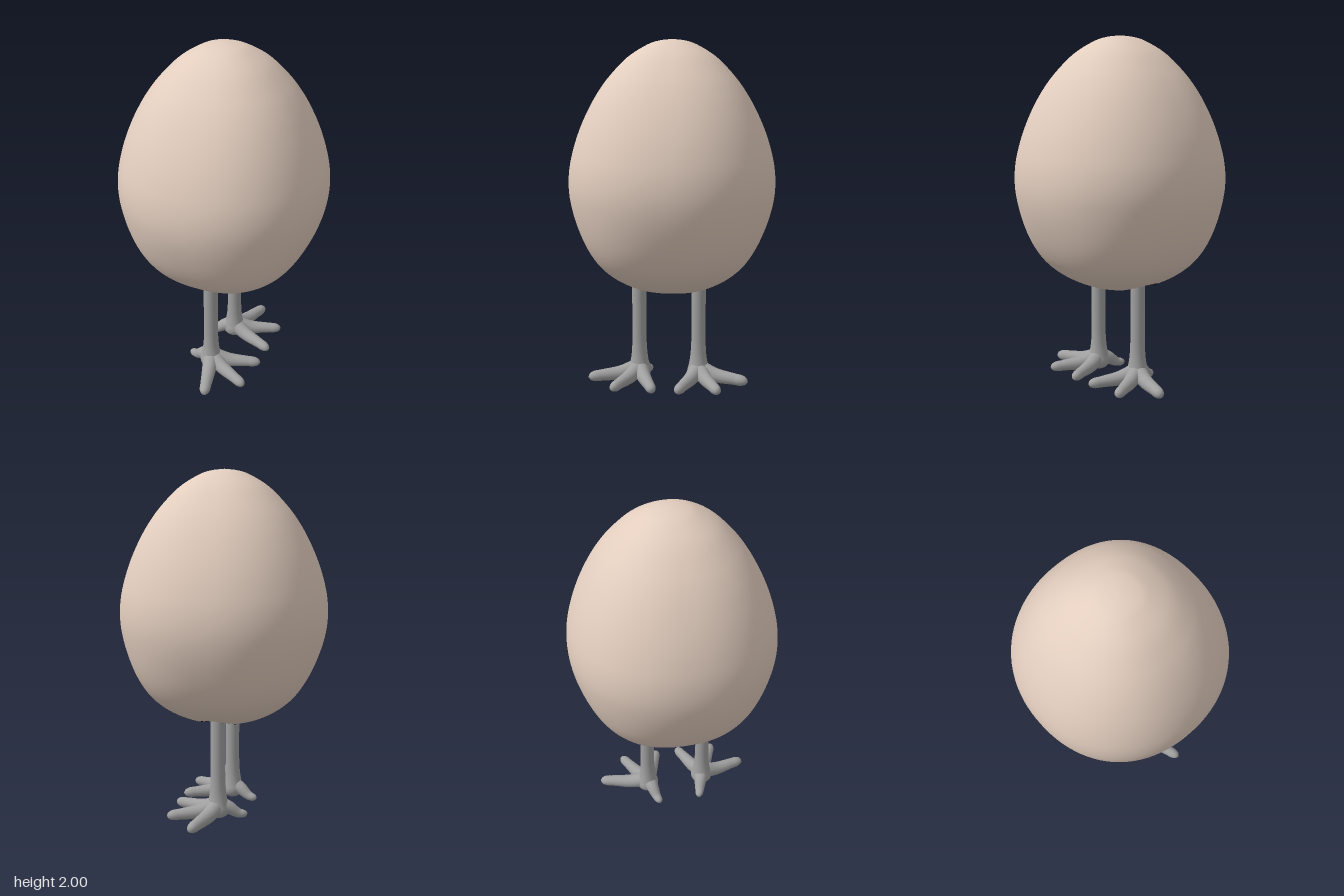
import * as THREE from 'three';
import { mergeVertices } from 'three/addons/utils/BufferGeometryUtils.js';

const V2 = (x, y) => new THREE.Vector2(x, y);
const V3 = (x, y, z) => new THREE.Vector3(x, y, z);
const { smoothstep, mapLinear, lerp } = THREE.MathUtils;

// Egg outline from bottom to top (radius, height)
const profile = new THREE.SplineCurve([
  V2(0, 0.563), V2(0.1, 0.567), V2(0.2, 0.587), V2(0.3, 0.633), V2(0.38, 0.69),
  V2(0.44, 0.755), V2(0.497, 0.85), V2(0.545, 0.965), V2(0.576, 1.075), V2(0.588, 1.18),
  V2(0.581, 1.29), V2(0.556, 1.4), V2(0.522, 1.5), V2(0.477, 1.6), V2(0.421, 1.7),
  V2(0.352, 1.795), V2(0.25, 1.9), V2(0.14, 1.969), V2(0.07, 1.992), V2(0, 2),
]).getPoints(95);

// The plan is slightly squared, most of all low on the body
function squareness(x, z, y) {
  const r = Math.hypot(x, z);
  if (r < 1e-6) return 1;
  const n = 2.15 + 0.2 * (1 - smoothstep(y, 0.75, 1.1)) + 0.05 * smoothstep(y, 1.4, 1.7);
  return (Math.abs(x / r) ** n + Math.abs(z / r) ** n) ** (-1 / n);
}

// Legs along z, and the shallow sockets they stand in
const legs = [
  { name: 'frontLeg', z: 0.196, side: 1 },
  { name: 'rearLeg', z: -0.155, side: -1 },
];
const socketZ = (leg) => leg.z + leg.side * 0.018;
const dent = (x, z) => legs.reduce(
  (sum, leg) => sum + 0.045 * (1 - smoothstep(Math.hypot(x, z - socketZ(leg)), 0.05, 0.105)), 0);

// Height of the egg's underside at (x, z)
function undersideY(x, z) {
  const r = Math.hypot(x, z) / squareness(x, z, 0.6);
  const i = Math.max(1, profile.findIndex((p) => p.x >= r));
  const a = profile[i - 1], b = profile[i];
  return mapLinear(r, a.x, b.x, a.y, b.y) + dent(x, z);
}

function smooth(geometry) {
  geometry.deleteAttribute('uv');
  geometry.deleteAttribute('normal');
  const merged = mergeVertices(geometry, 1e-5);
  merged.computeVertexNormals();
  return merged;
}

function eggGeometry() {
  const g = new THREE.LatheGeometry(profile.map((p) => V2(Math.max(p.x, 0), p.y)), 96);
  const pos = g.attributes.position;
  for (let i = 0; i < pos.count; i++) {
    const y = pos.getY(i), k = squareness(pos.getX(i), pos.getZ(i), y);
    const x = pos.getX(i) * k, z = pos.getZ(i) * k;
    pos.setXYZ(i, x, y < 0.9 ? y + dent(x, z) : y, z);
  }
  return smooth(g);
}

// Ragged dark patch lining a socket
function socketGeometry(cz) {
  const g = new THREE.RingGeometry(0.002, 0.098, 44, 8).rotateX(Math.PI / 2);
  const pos = g.attributes.position;
  for (let i = 0; i < pos.count; i++) {
    const a = Math.atan2(pos.getZ(i), pos.getX(i));
    const k = 1 + 0.07 * Math.sin(a * 11) + 0.06 * Math.sin(a * 17 + 1);
    const x = pos.getX(i) * k, z = cz + pos.getZ(i) * k;
    pos.setXYZ(i, x, undersideY(x, z) - 0.005, z);
  }
  g.computeVertexNormals();
  return g;
}

// Toe: a tube whose radius tapers and closes in a round tip
function toeGeometry(x, z, midY, tipY, tipRadius) {
  const curve = new THREE.CatmullRomCurve3([
    V3(0, 0.085, 0), V3(x * 0.35, midY, z * 0.35),
    V3(x * 0.7, tipY + 0.006, z * 0.7), V3(x, tipY, z),
  ]);
  const steps = 32, sides = 16;
  const g = new THREE.TubeGeometry(curve, steps, 1, sides);
  const pos = g.attributes.position, length = curve.getLength(), p = V3(0, 0, 0);
  for (let i = 0; i <= steps; i++) {
    const t = i / steps, c = curve.getPointAt(t);
    const left = Math.min(1, ((1 - t) * length) / (tipRadius * 1.8));
    const r = lerp(0.05, tipRadius, Math.min(1, t * 1.3)) * Math.sqrt(Math.max(0, 1 - (1 - left) ** 2));
    for (let j = 0; j <= sides; j++) {
      const n = i * (sides + 1) + j;
      p.fromBufferAttribute(pos, n).sub(c).multiplyScalar(r).add(c);
      pos.setXYZ(n, p.x, Math.max(p.y, 0.005), p.z);
    }
  }
  return smooth(g);
}

// Shank flaring into the ankle
function shankGeometry() {
  const outline = new THREE.SplineCurve([
    V2(0, 0.012), V2(0.035, 0.014), V2(0.06, 0.035), V2(0.066, 0.065), V2(0.058, 0.1),
    V2(0.049, 0.15), V2(0.044, 0.21), V2(0.042, 0.3), V2(0.042, 0.66),
  ]).getPoints(32);
  return new THREE.LatheGeometry(outline, 28);
}

export function createModel() {
  const model = new THREE.Group();
  model.name = 'walkingEgg';
  const shell = new THREE.MeshStandardMaterial({ color: 0xe2cdbe });
  const skin = new THREE.MeshStandardMaterial({ color: 0xa0a0a0 });
  const dark = new THREE.MeshStandardMaterial({ color: 0x000000 });

  const add = (parent, name, geometry, material) => {
    const mesh = new THREE.Mesh(geometry, material);
    mesh.name = name;
    parent.add(mesh);
  };

  add(model, 'eggBody', eggGeometry(), shell);

  // Toe tips as x, outward z, mid height, tip height and radius
  const toes = [
    ['innerToe', 0.282, -0.108, 0.052, 0.038, 0.031],
    ['middleToe', 0.272, 0.13, 0.052, 0.038, 0.031],
    ['outerToe', 0.09, 0.295, 0.052, 0.038, 0.033],
    ['backToe', -0.165, -0.052, 0.066, 0.024, 0.026],
  ];

  // Two legs, mirrored front to back, with the toes leading towards +x
  for (const leg of legs) {
    const group = new THREE.Group();
    group.name = leg.name;
    group.position.z = leg.z;
    add(group, 'shank', shankGeometry(), skin);
    for (const [toe, x, z, ...shape] of toes) add(group, toe, toeGeometry(x, z * leg.side, ...shape), skin);
    model.add(group);
    add(model, leg.name + 'Socket', socketGeometry(socketZ(leg)), dark);
  }
  return model;
}
